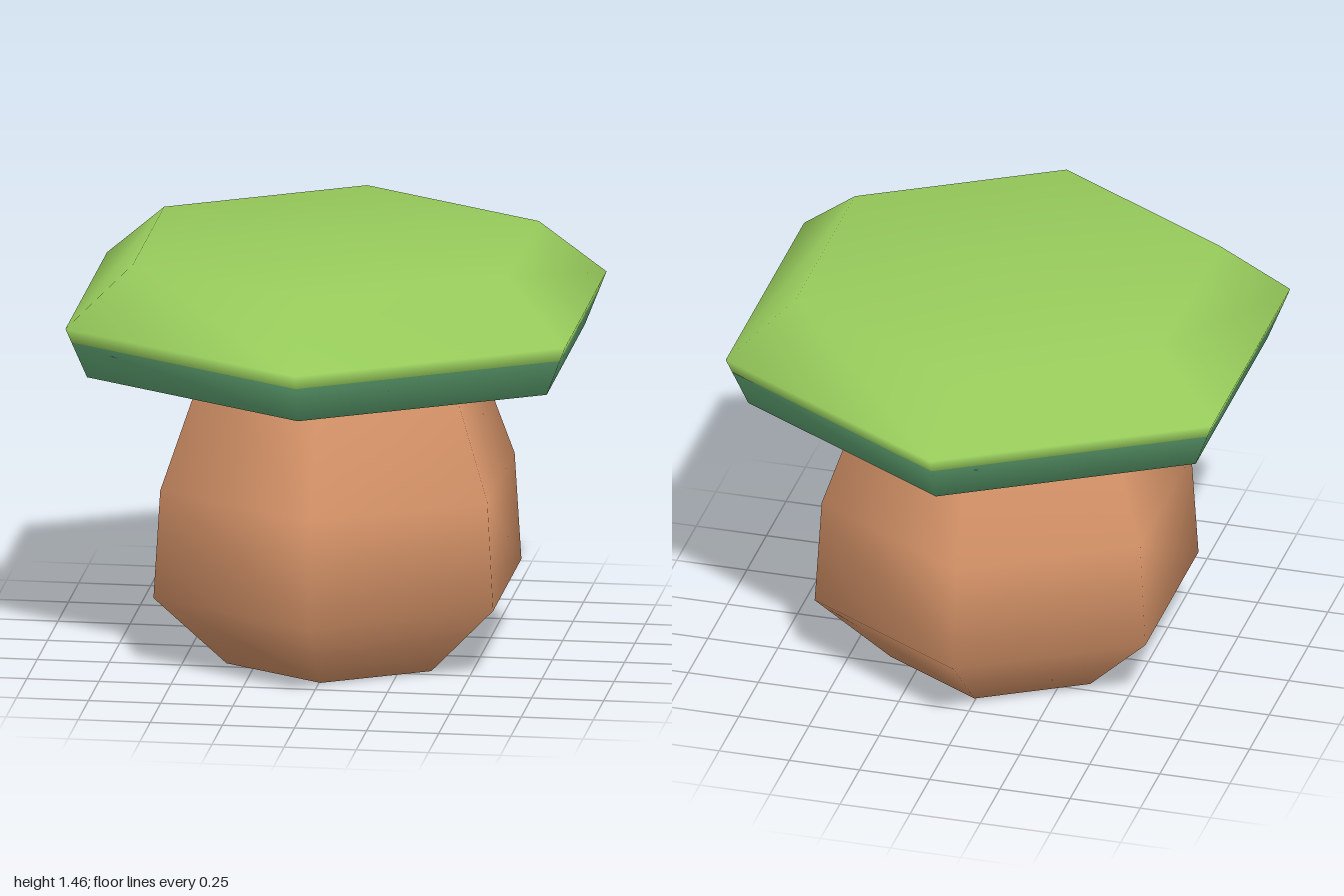
import * as THREE from 'three';

// Six-sided smooth turned part from a bottom-to-top [radius, height] profile
function turned(name, profile, material) {
  const points = profile.map(([r, y]) => new THREE.Vector2(r, y));
  const mesh = new THREE.Mesh(new THREE.LatheGeometry(points, 6), material);
  mesh.name = name;
  return mesh;
}

export function createModel() {
  const capGreen = new THREE.MeshStandardMaterial({ color: 0x98cc5c });
  capGreen.name = 'cap green';
  const gillGreen = new THREE.MeshStandardMaterial({ color: 0x68b27c });
  gillGreen.name = 'underside green';
  const stemTan = new THREE.MeshStandardMaterial({ color: 0xdb976b });
  stemTan.name = 'stem tan';

  const group = new THREE.Group();
  group.name = 'mushroom';

  // Bulbous stem with a closed base, running up to the cap
  const stem = turned('stem', [[0, 0], [0.41, 0], [0.68, 0.26], [0.655, 0.64], [0.49, 1.075]], stemTan);
  stem.position.x = 0.005;

  // Underside and lower rim of the cap
  const underside = turned('capUnderside', [[0, 1.07], [0.92, 1.07], [0.978, 1.2]], gillGreen);

  // Upper rim, bevel and flat top of the cap
  const top = turned('capTop', [[0.978, 1.2], [1, 1.25], [0.75, 1.455], [0, 1.455]], capGreen);

  group.add(stem, underside, top);
  return group;
}
